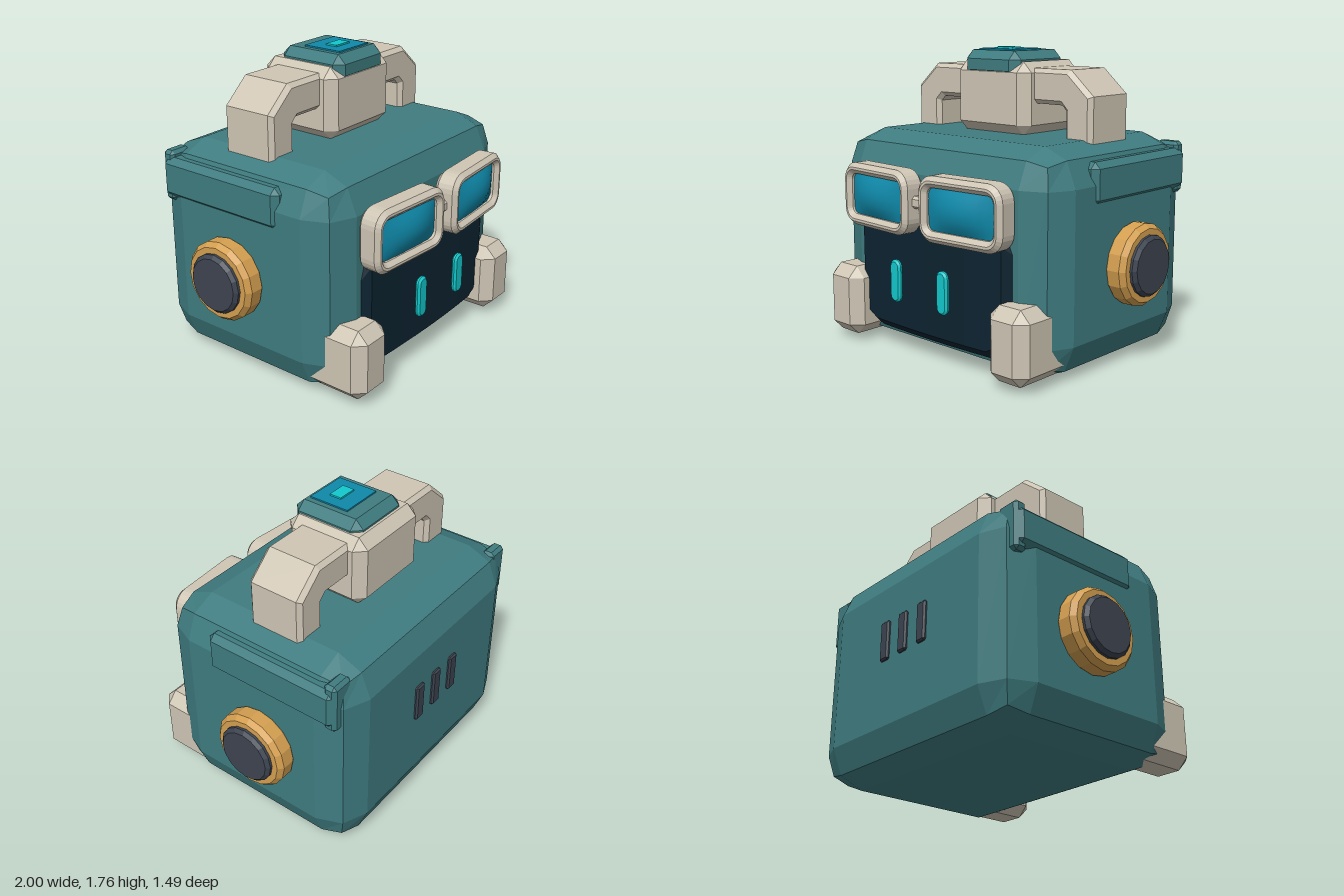
import * as THREE from 'three';
import { RoundedBoxGeometry } from 'three/addons/geometries/RoundedBoxGeometry.js';
import { ConvexGeometry } from 'three/addons/geometries/ConvexGeometry.js';

const mat = (name, color, flatShading = true) => {
  const m = new THREE.MeshStandardMaterial({ color, flatShading });
  m.name = name;
  return m;
};

// Box given by its min and max corners, every edge cut by one flat chamfer
function chamferBox([x0, y0, z0], [x1, y1, z1], c) {
  const h = [(x1 - x0) / 2, (y1 - y0) / 2, (z1 - z0) / 2];
  const pts = [];
  for (const sx of [-1, 1]) for (const sy of [-1, 1]) for (const sz of [-1, 1])
    for (let axis = 0; axis < 3; axis++) {
      const e = h.map((v, i) => (i === axis ? v : v - c));
      pts.push(new THREE.Vector3(sx * e[0], sy * e[1], sz * e[2]));
    }
  return new ConvexGeometry(pts).translate((x0 + x1) / 2, (y0 + y1) / 2, (z0 + z1) / 2);
}

// Rounded rectangle centred on the origin
function roundedRect(w, h, r, path = new THREE.Shape()) {
  const x = w / 2, y = h / 2;
  path.moveTo(-x + r, -y);
  path.lineTo(x - r, -y);
  path.absarc(x - r, -y + r, r, -Math.PI / 2, 0);
  path.absarc(x - r, y - r, r, 0, Math.PI / 2);
  path.absarc(-x + r, y - r, r, Math.PI / 2, Math.PI);
  path.absarc(-x + r, -y + r, r, Math.PI, Math.PI * 1.5);
  return path;
}

// Extrusion whose bevels stay inside the drawn outline, centred in z
function bevelled(shape, depth, bevel, curveSegments = 3) {
  return new THREE.ExtrudeGeometry(shape, {
    depth: depth - 2 * bevel, bevelThickness: bevel, bevelSize: bevel,
    bevelOffset: -bevel, bevelSegments: 1, curveSegments,
  }).translate(0, 0, bevel - depth / 2);
}

// Gently bowed face screen lofted from vertical sections along x
function screenGeometry() {
  const half = [[0.61, 0.22], [0.56, 0.32], [0.45, 0.375], [0.3, 0.375], [0.15, 0.375]];
  const cols = [...half.map(([x, h]) => [-x, h]), [0, 0.375], ...half.slice().reverse()];
  const pos = [], index = [], n = 6, yc = 0.485, c = 0.05;
  cols.forEach(([x, h], i) => {
    const edge = i === 0 || i === cols.length - 1;
    const zf = 0.635 - 0.07 * x * x, z = edge ? zf - c : zf;
    for (const [y, zz] of [[-h, 0.5], [-h, zf - c], [c - h, z], [h - c, z], [h, zf - c], [h, 0.5]])
      pos.push(x, yc + y, zz);
    if (!i) return;
    for (let k = 0; k < n - 1; k++) {
      const a = (i - 1) * n + k, b = i * n + k;
      index.push(a, b, b + 1, a, b + 1, a + 1);
    }
  });
  const g = new THREE.BufferGeometry();
  g.setAttribute('position', new THREE.Float32BufferAttribute(pos, 3));
  g.setIndex(index);
  g.computeVertexNormals();
  return g;
}

export function createModel() {
  const teal = mat('teal shell', 0x3f7c80);
  const cream = mat('cream', 0xcfc6b5);
  const gold = mat('gold', 0xd49f50);
  const dark = mat('charcoal', 0x3d4450);
  const navy = mat('navy screen', 0x0c2330);
  const glass = mat('blue glass', 0x0f88a8, false);
  const cyan = mat('cyan glow', 0x12c8cc);

  const model = new THREE.Group();
  const add = (name, geometry, material, parent = model) => {
    const m = new THREE.Mesh(geometry, material);
    m.name = name;
    parent.add(m);
    return m;
  };

  // Body and face screen
  add('body', new RoundedBoxGeometry(1.7, 1.27, 1.3, 1, 0.21).translate(0, 0.635, -0.08), teal);
  add('screen', screenGeometry(), navy);

  // Carry handle
  const arch = new THREE.Shape([
    [-0.69, 1.2], [-0.5, 1.2], [-0.5, 1.42], [-0.47, 1.45], [0.47, 1.45], [0.5, 1.42],
    [0.5, 1.2], [0.69, 1.2], [0.69, 1.51], [0.53, 1.65], [-0.53, 1.65], [-0.69, 1.51],
  ].map(([x, y]) => new THREE.Vector2(x, y)));
  add('handle', bevelled(arch, 0.35, 0.025).translate(0, 0, -0.137), cream);
  add('handleBlock', chamferBox([-0.285, 1.265, -0.4], [0.285, 1.685, 0.125], 0.06), cream);

  // Button on top of the handle
  add('buttonBase', chamferBox([-0.215, 1.58, -0.325], [0.215, 1.745, 0.125], 0.05), teal);
  add('buttonPlate', new THREE.BoxGeometry(0.265, 0.009, 0.25).translate(0, 1.749, -0.068), glass);
  add('buttonLight', new THREE.BoxGeometry(0.12, 0.009, 0.075).translate(0, 1.758, -0.058), cyan);

  // Mirrored parts
  for (const s of [1, -1]) {
    const side = s > 0 ? 'left' : 'right';
    const box = (a, b, c) => {
      const xs = [a[0] * s, b[0] * s].sort((p, q) => p - q);
      return chamferBox([xs[0], a[1], a[2]], [xs[1], b[1], b[2]], c);
    };

    add(side + 'Hand', box([0.52, 0.04, 0.3], [0.8, 0.46, 0.72], 0.065), cream);
    add(side + 'SideFlap', box([0.7, 0.945, -0.65], [0.865, 1.185, 0.21], 0.035), teal);
    add(side + 'FlapEnd', box([0.7, 0.92, -0.655], [0.845, 1.22, -0.575], 0.02), teal);

    // Ear: gold ring with a dark cap
    const ear = new THREE.Group();
    ear.name = side + 'Ear';
    ear.position.set(0, 0.585, -0.145);
    ear.rotation.z = -s * Math.PI / 2;
    model.add(ear);
    const turned = pts => new THREE.LatheGeometry(pts.map(p => new THREE.Vector2(...p)), 16);
    add('earRing', turned([[0.215, 0.83], [0.235, 0.86], [0.235, 0.935], [0.21, 0.965], [0, 0.965]]), gold, ear);
    add('earCap', turned([[0.175, 0.94], [0.175, 0.98], [0.155, 1], [0, 1]]), dark, ear);

    // Eye
    add(side + 'Eye', bevelled(roundedRect(0.085, 0.25, 0.042), 0.035, 0.012)
      .translate(s * 0.19, 0.45, 0.685), cyan);

    // Glasses: rim and domed lens, turned slightly outward
    const rim = new THREE.Group();
    rim.name = side + 'Eyeglass';
    rim.position.set(s * 0.335, 0.915, 0.652);
    rim.rotation.y = s * 0.07;
    model.add(rim);
    const outline = roundedRect(0.59, 0.37, 0.1);
    outline.holes.push(roundedRect(0.465, 0.24, 0.04, new THREE.Path()));
    add('rim', bevelled(outline, 0.145, 0.025), cream, rim);
    const lens = new THREE.PlaneGeometry(0.49, 0.265, 8, 6);
    const p = lens.attributes.position;
    for (let i = 0; i < p.count; i++) {
      const u = p.getX(i) / 0.245, v = p.getY(i) / 0.1325;
      p.setZ(i, 0.03 + 0.055 * (1 - u * u) * (1 - v * v));
    }
    lens.computeVertexNormals();
    add('lens', lens, glass, rim);
  }
  add('bridge', chamferBox([-0.07, 0.89, 0.62], [0.07, 0.96, 0.69], 0.015), cream);

  // Vents on the back
  for (const x of [-0.17, 0, 0.165])
    add('vent', chamferBox([x - 0.037, 0.6, -0.748], [x + 0.037, 0.84, -0.71], 0.01), dark);

  return model;
}
